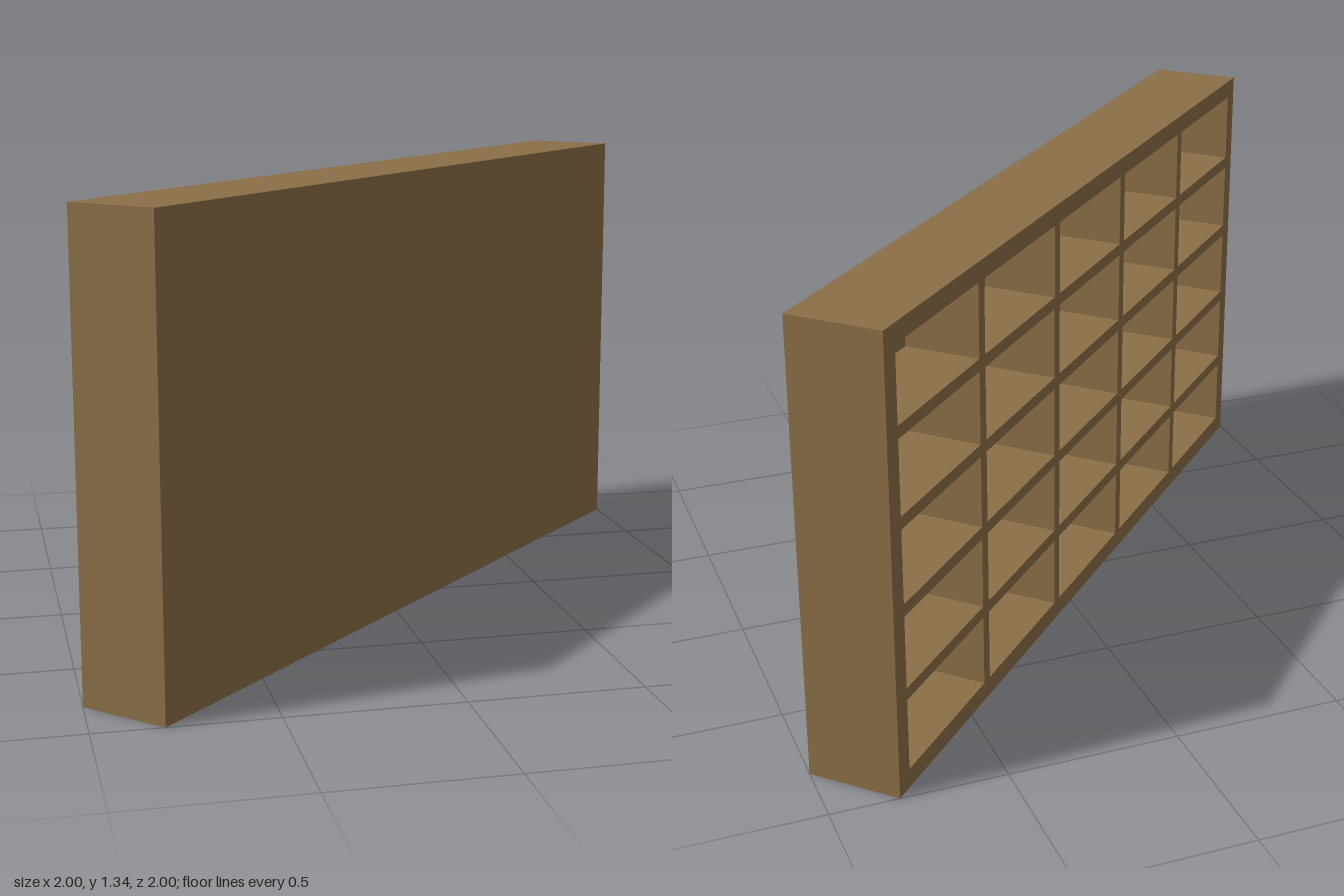
import * as THREE from 'three';

const LENGTH = 2.553, HEIGHT = 1.335, DEPTH = 0.276;
const COLS = 5, ROWS = 5;
const RIM = 0.057, DIVIDER = 0.036, BACK = 0.055;

// Counter-clockwise rectangle from its lower left corner
function rectangle(Path, x, y, w, h) {
  const path = new Path();
  path.moveTo(x, y);
  path.lineTo(x + w, y);
  path.lineTo(x + w, y + h);
  path.lineTo(x, y + h);
  path.closePath();
  return path;
}

export function createModel() {
  const model = new THREE.Group();
  model.name = 'pigeonholeShelf';
  const wood = new THREE.MeshStandardMaterial({ color: 0x8b6f47 });
  wood.name = 'brown wood';

  // Outer rim and dividers, pierced by a grid of compartments
  const outline = rectangle(THREE.Shape, -LENGTH / 2, 0, LENGTH, HEIGHT);
  const cellW = (LENGTH - 2 * RIM - (COLS - 1) * DIVIDER) / COLS;
  const cellH = (HEIGHT - 2 * RIM - (ROWS - 1) * DIVIDER) / ROWS;
  for (let c = 0; c < COLS; c++) {
    for (let r = 0; r < ROWS; r++) {
      const x = -LENGTH / 2 + RIM + c * (cellW + DIVIDER);
      const y = RIM + r * (cellH + DIVIDER);
      outline.holes.push(rectangle(THREE.Path, x, y, cellW, cellH));
    }
  }
  const frameGeometry = new THREE.ExtrudeGeometry(outline, { depth: DEPTH - BACK, bevelEnabled: false });
  const frame = new THREE.Mesh(frameGeometry, wood);
  frame.name = 'shelfGrid';
  frame.position.z = -DEPTH / 2 + BACK;

  // Solid panel closing the compartments
  const panel = new THREE.Mesh(new THREE.BoxGeometry(LENGTH, HEIGHT, BACK), wood);
  panel.name = 'backPanel';
  panel.position.set(0, HEIGHT / 2, -DEPTH / 2 + BACK / 2);

  // The shelf stands diagonally, open side towards -x and -z
  const shelf = new THREE.Group();
  shelf.name = 'shelf';
  shelf.add(frame, panel);
  shelf.rotation.y = -Math.PI * 0.75;
  model.add(shelf);
  return model;
}
